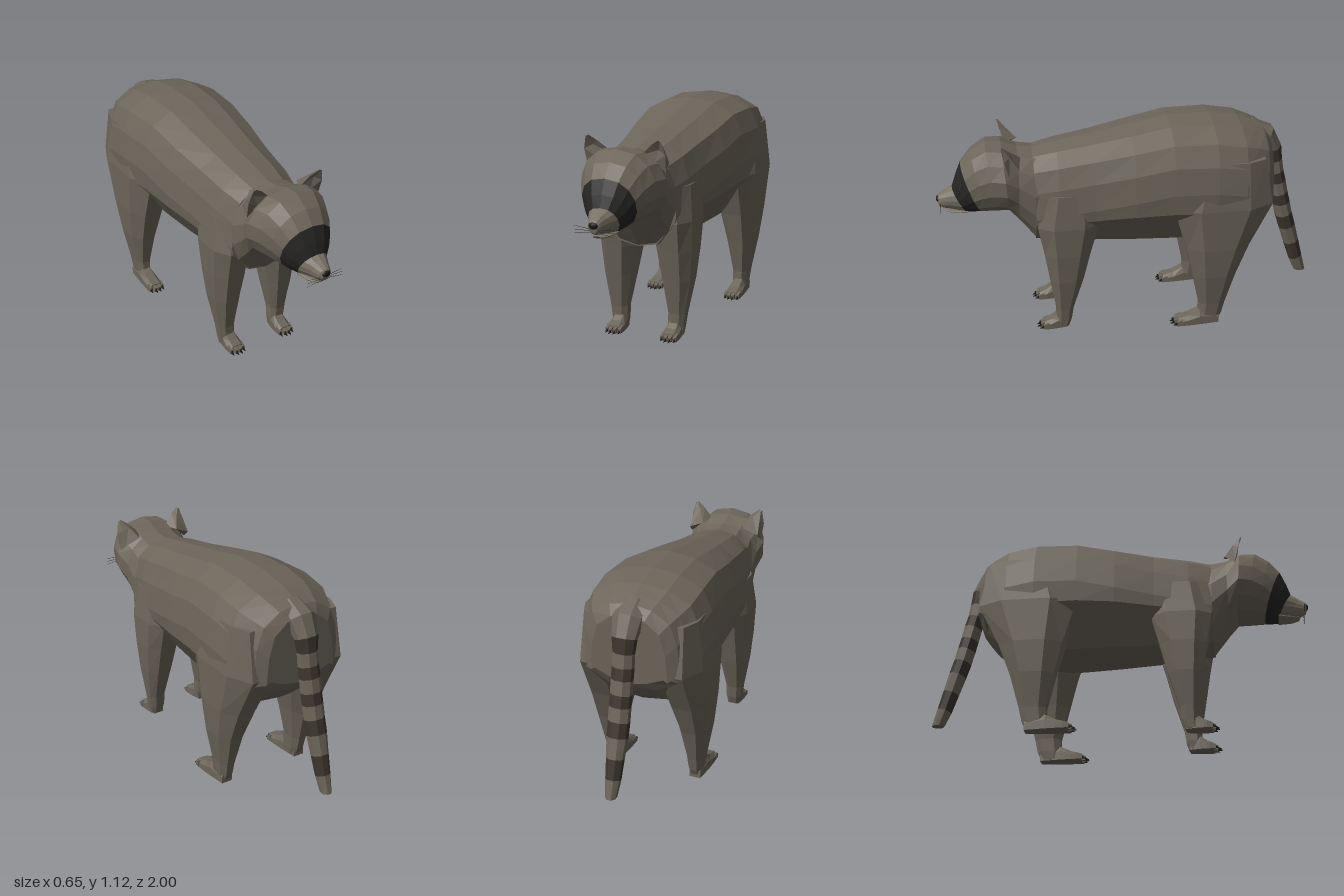
import * as THREE from 'three';

const material = (name, color) => Object.assign(new THREE.MeshStandardMaterial({ color }), { name });

// Closed, faceted skin over a list of rings; faces are turned outwards by signed volume.
function loft(rings) {
  const V = (p) => new THREE.Vector3(...p);
  const R = rings.map((r) => r.map(V));
  const n = R[0].length;
  const tris = [];
  for (let i = 0; i < R.length - 1; i++) {
    for (let j = 0; j < n; j++) {
      const k = (j + 1) % n;
      tris.push([R[i][j], R[i][k], R[i + 1][k]], [R[i][j], R[i + 1][k], R[i + 1][j]]);
    }
  }
  const cap = (ring, flip) => {
    const c = new THREE.Vector3();
    ring.forEach((p) => c.addScaledVector(p, 1 / n));
    ring.forEach((p, j) => {
      const q = ring[(j + 1) % n];
      tris.push(flip ? [c, q, p] : [c, p, q]);
    });
  };
  cap(R[0], true);
  cap(R[R.length - 1], false);
  const cross = new THREE.Vector3();
  let volume = 0;
  tris.forEach(([a, b, c]) => { volume += a.dot(cross.crossVectors(b, c)); });
  const points = tris.flatMap(([a, b, c]) => (volume < 0 ? [a, c, b] : [a, b, c]));
  const geometry = new THREE.BufferGeometry().setFromPoints(points);
  geometry.computeVertexNormals();
  return geometry;
}

// Torso section: broad back, steep flanks, narrow belly.
function torsoRing([z, w, top, flank, belly]) {
  const half = [
    [0.43 * w, top - 0.018], [0.79 * w, top - 0.075], [0.94 * w, top - 0.18],
    [w, top - 0.32], [0.97 * w, flank], [0.5 * w, belly + 0.02],
  ];
  return [
    [0, top, z], ...half.map(([x, y]) => [x, y, z]),
    [0, belly, z], ...half.reverse().map(([x, y]) => [-x, y, z]),
  ];
}

// Rounded head section, leaning between its top and bottom z.
function headRing([zTop, zBottom, w, top, bottom]) {
  return Array.from({ length: 14 }, (_, i) => {
    const a = (i / 14) * Math.PI * 2;
    const t = (1 + Math.cos(a)) / 2;
    const s = Math.sin(a);
    return [w * Math.sign(s) * Math.abs(s) ** 0.85, bottom + (top - bottom) * t, zBottom + (zTop - zBottom) * t];
  });
}

// Horizontal eight-sided section with cut corners.
function legRing([y, x0, x1, z0, z1]) {
  const cx = (x0 + x1) / 2, cz = (z0 + z1) / 2, w = (x1 - x0) / 2, d = (z1 - z0) / 2;
  const c = 0.5;
  return [[1, c], [c, 1], [-c, 1], [-1, c], [-1, -c], [-c, -1], [c, -1], [1, -c]]
    .map(([u, v]) => [cx + u * w, y, cz + v * d]);
}

export function createModel() {
  const fur = material('grey brown fur', 0x6c655a);
  const pale = material('pale muzzle fur', 0x787165);
  const mask = material('dark mask fur', 0x262524);
  const band = material('dark tail fur', 0x3c352e);
  const black = material('black nose and claws', 0x171615);

  const model = new THREE.Group();
  model.name = 'raccoon';
  const add = (name, geometry, mat, parent = model) => {
    const mesh = new THREE.Mesh(geometry, mat);
    mesh.name = name;
    parent.add(mesh);
    return mesh;
  };

  // Torso
  add('torso', loft([
    [-0.735, 0.2, 1.0, 0.7, 0.64], [-0.7, 0.25, 1.045, 0.67, 0.59], [-0.64, 0.285, 1.07, 0.66, 0.53],
    [-0.57, 0.318, 1.095, 0.66, 0.48], [-0.42, 0.325, 1.12, 0.68, 0.46], [-0.2, 0.308, 1.12, 0.69, 0.46],
    [0, 0.29, 1.08, 0.68, 0.465], [0.2, 0.255, 1.04, 0.66, 0.47], [0.38, 0.236, 1.01, 0.64, 0.475],
    [0.5, 0.205, 0.985, 0.63, 0.49],
  ].map(torsoRing)), fur);

  // Head, mask and muzzle share their bordering sections
  const maskRim = [0.865, 0.77, 0.14, 0.92, 0.66];
  const muzzleRim = [0.915, 0.84, 0.078, 0.792, 0.652];
  add('neckAndHead', loft([
    [0.45, 0.46, 0.2, 0.99, 0.48], [0.5, 0.5, 0.205, 0.987, 0.495], [0.575, 0.585, 0.198, 0.995, 0.61],
    [0.655, 0.63, 0.218, 1.027, 0.67], [0.735, 0.69, 0.195, 1.032, 0.665], [0.81, 0.735, 0.168, 0.985, 0.662],
    maskRim,
  ].map(headRing)), fur);
  add('faceMask', loft([maskRim, [0.895, 0.805, 0.112, 0.85, 0.656], muzzleRim].map(headRing)), mask);
  add('muzzle', loft([
    muzzleRim, [0.955, 0.91, 0.05, 0.77, 0.668], [0.985, 0.965, 0.034, 0.752, 0.678],
    [0.995, 0.985, 0.02, 0.735, 0.69],
  ].map(headRing)), pale);
  add('lowerJaw', loft([
    [0.84, 0.84, 0.06, 0.675, 0.652], [0.92, 0.91, 0.042, 0.668, 0.65], [0.955, 0.945, 0.022, 0.668, 0.655],
  ].map(headRing)), pale);
  const nose = add('nose', new THREE.IcosahedronGeometry(1, 1), black);
  nose.scale.set(0.024, 0.018, 0.013);
  nose.position.set(0, 0.727, 0.987);

  // Tail: sections perpendicular to the curve, alternating in colour
  const tail = new THREE.Group();
  tail.name = 'tail';
  model.add(tail);
  // columns: y, z, half width, half depth
  const path = [
    [1.03, -0.64, 0.06, 0.04], [0.98, -0.725, 0.075, 0.055], [0.9, -0.77, 0.06, 0.046], [0.83, -0.782, 0.052, 0.042],
    [0.76, -0.793, 0.052, 0.043], [0.7, -0.808, 0.052, 0.044], [0.63, -0.823, 0.052, 0.044], [0.57, -0.838, 0.052, 0.044],
    [0.5, -0.855, 0.052, 0.044], [0.425, -0.878, 0.051, 0.043], [0.325, -0.908, 0.043, 0.04],
    [0.225, -0.938, 0.037, 0.036], [0.14, -0.967, 0.027, 0.031],
  ];
  const tailRings = path.map(([y, z, w, d], i) => {
    const a = path[Math.max(i - 1, 0)], b = path[Math.min(i + 1, path.length - 1)];
    const lean = i === path.length - 1 ? 0 : Math.atan2(a[1] - b[1], a[0] - b[0]);
    return Array.from({ length: 8 }, (_, j) => {
      const t = ((j + 0.5) / 8) * Math.PI * 2;
      const r = 1.06, v = Math.sin(t) * d * r;
      return [Math.cos(t) * w * r, y - v * Math.sin(lean), z + v * Math.cos(lean)];
    });
  });
  add('tailBase', loft(tailRings.slice(0, 3)), fur, tail);
  for (let i = 2; i < path.length - 1; i++) {
    const dark = i % 2 === 0;
    add(dark ? 'darkTailBand' : 'lightTailBand', loft([tailRings[i], tailRings[i + 1]]), dark ? band : fur, tail);
  }

  // Leg sections: y, inner x, outer x, back z, front z
  const legs = {
    front: [
      [0.8, 0.1, 0.235, 0.2, 0.45], [0.62, 0.06, 0.255, 0.18, 0.495], [0.46, 0.058, 0.25, 0.225, 0.465],
      [0.3, 0.085, 0.236, 0.265, 0.44], [0.12, 0.115, 0.207, 0.32, 0.412], [0.05, 0.115, 0.198, 0.33, 0.41],
      [0.005, 0.12, 0.193, 0.345, 0.41],
    ],
    rear: [
      [0.95, 0.14, 0.295, -0.67, -0.3], [0.7, 0.09, 0.324, -0.715, -0.2], [0.47, 0.115, 0.318, -0.6, -0.27],
      [0.3, 0.155, 0.302, -0.535, -0.31], [0.12, 0.186, 0.272, -0.485, -0.348], [0.05, 0.19, 0.265, -0.47, -0.345],
      [0.005, 0.195, 0.26, -0.45, -0.35],
    ],
  };
  // Foot: centre x, heel z, ankle z, toe z
  const feet = { front: [0.153, 0.35, 0.4, 0.475], rear: [0.232, -0.455, -0.35, -0.235] };

  for (const side of [1, -1]) {
    const word = side > 0 ? 'left' : 'right';
    const flip = (rings) => rings.map((r) => r.map(([x, y, z]) => [x * side, y, z]));

    for (const end of ['front', 'rear']) {
      const leg = new THREE.Group();
      leg.name = `${word} ${end} leg`;
      model.add(leg);
      add('limb', loft(flip(legs[end].map(legRing))), fur, leg);
      const [cx, heel, ankle, toe] = feet[end];
      const footRing = ([z, w, h]) => [
        [cx - w, 0, z], [cx + w, 0, z], [cx + w, h * 0.6, z], [cx + w * 0.55, h, z], [cx - w * 0.55, h, z], [cx - w, h * 0.6, z],
      ];
      add('foot', loft(flip([[heel, 0.03, 0.06], [ankle, 0.04, 0.08], [(ankle + toe) / 2, 0.043, 0.052], [toe, 0.043, 0.036]]
        .map(footRing))), fur, leg);
      // Toes and claws
      for (let i = 0; i < 4; i++) {
        const x = cx + (i - 1.5) * 0.023;
        const z = toe - (i % 3 === 0 ? 0.012 : 0);
        const box = (w, h, y, s) => [[x - w, y, s], [x + w, y, s], [x + w, y + h, s], [x - w, y + h, s]];
        add('toe', loft(flip([box(0.01, 0.036, 0, z - 0.01), box(0.008, 0.024, 0, z + 0.02)])), fur, leg);
        add('claw', loft(flip([box(0.006, 0.016, 0.004, z + 0.015), box(0.001, 0.002, 0.003, z + 0.04)])), black, leg);
      }
    }

    // Ear: pointed wedge with a hollowed front
    add(`${word} ear`, loft(flip([
      [[0.085, 0.99, 0.635], [0.15, 0.96, 0.635], [0.205, 0.91, 0.625], [0.2, 0.95, 0.575], [0.12, 0.985, 0.565]],
      [[0.14, 1.045, 0.65], [0.172, 1.02, 0.632], [0.212, 1.0, 0.648], [0.195, 1.02, 0.62], [0.155, 1.035, 0.62]],
      [[0.18, 1.072, 0.665], [0.186, 1.068, 0.66], [0.196, 1.065, 0.662], [0.19, 1.068, 0.656], [0.184, 1.07, 0.656]],
    ])), fur);

    // Eye
    const eye = add(`${word} eye`, new THREE.IcosahedronGeometry(0.015, 1), black);
    eye.position.set(side * 0.076, 0.818, 0.862);

    // Whiskers
    for (let i = 0; i < 3; i++) {
      const whisker = add(`${word} whisker`, new THREE.CylinderGeometry(0.0008, 0.0015, 0.08, 4), band);
      whisker.position.set(side * 0.062, 0.712 - i * 0.013, 0.978);
      whisker.rotation.set(0, 0, side * (-Math.PI / 2 + 0.12 - i * 0.14));
    }
  }
  return model;
}
